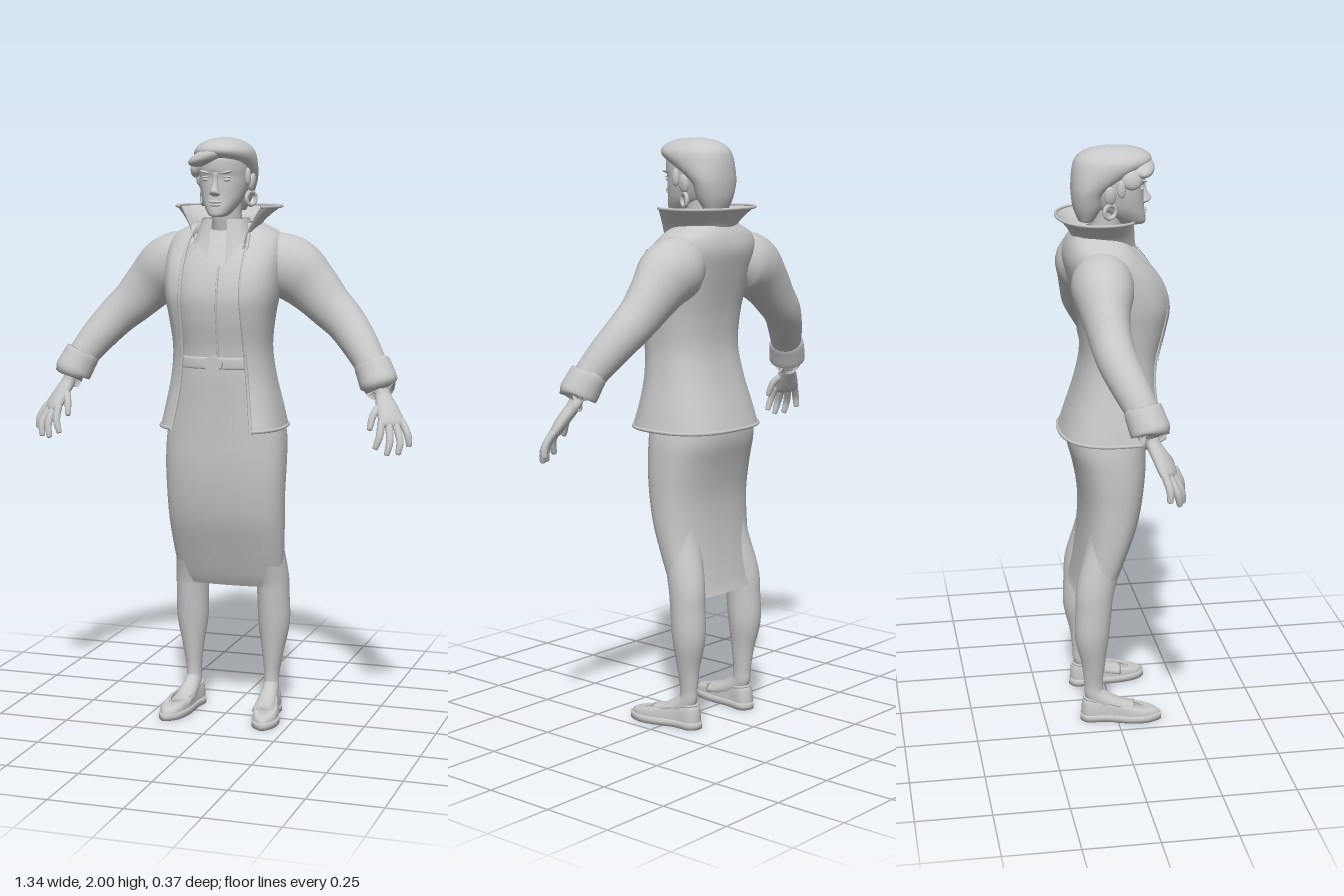
import * as THREE from 'three';

const grey = new THREE.MeshStandardMaterial({ color: 0xc8c8c8, side: THREE.DoubleSide });
grey.name = 'clay grey';
const V = (x, y, z) => new THREE.Vector3(x, y, z);
const spow = (v, p) => Math.sign(v) * Math.pow(Math.abs(v), p);
const TAU = Math.PI * 2;

// Smooth interpolation through table rows, t in 0..1
function sample(rows, t) {
  const f = t * (rows.length - 1), i = Math.min(Math.floor(f), rows.length - 2), k = f - i;
  const at = n => rows[Math.max(0, Math.min(rows.length - 1, n))];
  const [a, b, c, d] = [at(i - 1), at(i), at(i + 1), at(i + 2)];
  return b.map((_, n) => b[n] + 0.5 * k * (c[n] - a[n] + k * (2 * a[n] - 5 * b[n] + 4 * c[n] - d[n] + k * (3 * (b[n] - c[n]) + d[n] - a[n]))));
}

// Surface from fn(u, v); closed wraps u, caps fill both ends
function grid(fn, nu, nv, closed = false, caps = false) {
  const pos = [], idx = [], w = closed ? nu : nu + 1;
  for (let j = 0; j <= nv; j++) for (let i = 0; i < w; i++) pos.push(...fn(i / nu, j / nv).toArray());
  for (let j = 0; j < nv; j++) for (let i = 0; i < nu; i++) {
    const a = j * w + i, b = j * w + (i + 1) % w;
    idx.push(a, b, b + w, a, b + w, a + w);
  }
  if (caps) for (const j of [0, nv]) {
    const c = V(0, 0, 0), n = pos.length / 3;
    for (let i = 0; i < w; i++) c.add(V(...pos.slice((j * w + i) * 3, (j * w + i) * 3 + 3)));
    pos.push(...c.divideScalar(w).toArray());
    for (let i = 0; i < w; i++) {
      const a = j * w + i, b = j * w + (i + 1) % w;
      j ? idx.push(n, a, b) : idx.push(n, b, a);
    }
  }
  const g = new THREE.BufferGeometry();
  g.setAttribute('position', new THREE.Float32BufferAttribute(pos, 3));
  g.setIndex(idx);
  g.computeVertexNormals();
  return g;
}

// Point on a rounded section row [y, halfWidth, zFront, zBack]; angle 0 faces front
function section([y, rx, zf, zb], a, p, off = 0) {
  return V((rx + off) * spow(Math.sin(a), p), y, (zf + zb) / 2 + ((zf - zb) / 2 + off) * spow(Math.cos(a), p));
}
const body = (rows, p = 1, caps = true, nv = 40) =>
  grid((u, v) => section(sample(rows, v), u * TAU, p), 48, nv, true, caps);

// Limb through rows [x, y, z, radiusAcross, radiusOther]
function limb(rows, ref = V(0, 0, 1), nu = 20, nv = 28) {
  return grid((u, v) => {
    const r = sample(rows, v), e = 0.01;
    const t = V(...sample(rows, Math.min(1, v + e))).sub(V(...sample(rows, Math.max(0, v - e)))).normalize();
    const s = ref.clone().addScaledVector(t, -ref.dot(t)).normalize(), up = t.clone().cross(s);
    return V(r[0], r[1], r[2]).addScaledVector(s, r[3] * Math.cos(u * TAU)).addScaledVector(up, (r[4] ?? r[3]) * Math.sin(u * TAU));
  }, nu, nv, true, true);
}
const tube = (pts, r) => new THREE.TubeGeometry(new THREE.CatmullRomCurve3(pts), 60, r, 6);
const blob = (x, y, z, sx, sy, sz, rz = 0) =>
  new THREE.SphereGeometry(1, 24, 16).scale(sx, sy, sz).rotateZ(rz).translate(x, y, z);

function mirrored(g) {
  const m = g.clone().scale(-1, 1, 1), ix = m.index.array;
  for (let i = 0; i < ix.length; i += 3) [ix[i], ix[i + 1]] = [ix[i + 1], ix[i]];
  return m;
}

export function createModel() {
  const root = new THREE.Group();
  const add = (name, g) => { const m = new THREE.Mesh(g, grey); m.name = name; root.add(m); };
  const pair = (name, g) => { add(name + 'Left', g); add(name + 'Right', mirrored(g)); };

  // Skirt and belt
  const skirt = [[.46, .187, -.008, -.14], [.5, .19, .012, -.13], [.6, .199, .05, -.115], [.7, .205, .085, -.107], [.8, .208, .105, -.108],
    [.9, .211, .115, -.125], [1, .207, .117, -.148], [1.1, .186, .12, -.135], [1.2, .16, .125, -.09], [1.27, .148, .125, -.08]];
  add('skirt', body(skirt, .8, false));
  add('belt', body([[1.232, .15, .128, -.08], [1.236, .156, .135, -.085], [1.268, .156, .135, -.085], [1.272, .15, .128, -.08]], .8, false, 12));
  add('buckle', new THREE.CylinderGeometry(.024, .024, .018, 24).rotateX(Math.PI / 2).scale(1.4, 1, 1).translate(0, 1.252, .137));

  // Blouse with placket
  const blouse = [[1.22, .148, .122, -.08], [1.3, .146, .128, -.08], [1.4, .155, .148, -.085], [1.48, .165, .152, -.09],
    [1.56, .16, .128, -.1], [1.63, .13, .088, -.1], [1.69, .07, .045, -.08]];
  add('blouse', body(blouse, .85));
  add('placket', tube([.1, .25, .4, .55, .7].map(v => section(sample(blouse, v), .06, .85)), .004));

  // Jacket shell open at the front; last column is the half opening
  const coat = [[1.03, .213, .195, -.175, .14], [1.1, .199, .172, -.152, .13], [1.2, .178, .155, -.12, .118], [1.3, .168, .158, -.1, .11],
    [1.4, .178, .18, -.105, .108], [1.48, .192, .19, -.12, .105], [1.56, .198, .168, -.14, .105], [1.63, .198, .118, -.155, .105],
    [1.68, .178, .07, -.145, .1], [1.715, .11, .04, -.125, .085]];
  const P = .78;
  const openAt = r => Math.asin(Math.pow(r[4] / r[1], 1 / P));
  add('jacket', grid((u, v) => {
    const r = sample(coat, v), a = openAt(r);
    return section(r, a + u * (TAU - 2 * a), P);
  }, 60, 44));
  const edge = v => { const r = sample(coat, v); return section(r, openAt(r), P); };
  pair('jacketEdge', tube(Array.from({ length: 18 }, (_, i) => edge(i / 19)), .006));
  const hemOpen = openAt(coat[0]);
  add('jacketHem', tube(Array.from({ length: 40 }, (_, i) => section(coat[0], hemOpen + i / 39 * (TAU - 2 * hemOpen), P)), .006));
  pair('lapel', grid((u, v) => {
    const r = sample(coat, .32 + v * .46), a = openAt(r);
    return section(r, a + u * .32 * Math.pow(v, .7), P, .009);
  }, 8, 24));

  // Collars: flared bands round the neck, dipping toward the front
  const collar = (low, high, start, dip, bend) => grid((u, v) => {
    const a = start + u * (TAU - 2 * start), k = Math.pow(v, bend);
    const q = section(low, a, .9).lerp(section(high, a, .9), k);
    q.y = low[0] + (high[0] - low[0]) * v - dip * (1 - v) * Math.pow(Math.abs(2 * u - 1), 5);
    return q;
  }, 48, 10);
  const low = [1.69, .105, .11, -.125], high = [1.77, .18, .1, -.177];
  add('standingCollar', collar(low, high, .85, .07, 1.6));
  add('collarRim', tube(Array.from({ length: 40 }, (_, i) => section(high, .85 + i / 39 * (TAU - 1.7), .9)), .005));
  add('blouseCollar', collar([1.665, .1, .122, -.095], [1.73, .08, .07, -.08], .3, .09, .8));

  // Sleeves and turned cuffs
  pair('sleeve', limb([[.1, 1.585, -.05, .07, .08], [.16, 1.58, -.052, .1, .105], [.225, 1.555, -.055, .098, .108], [.29, 1.5, -.058, .078, .092],
    [.35, 1.44, -.053, .068, .078], [.41, 1.385, -.04, .065, .069], [.47, 1.315, -.008, .06, .061], [.52, 1.245, .025, .052, .052]], V(0, 0, 1), 28, 36));
  pair('cuff', limb([[.513, 1.265, .02, .05], [.515, 1.26, .021, .06], [.53, 1.23, .03, .063], [.546, 1.195, .041, .064], [.548, 1.19, .042, .052]], V(0, 0, 1), 28, 16));

  // Hands
  pair('palm', limb([[.543, 1.205, .038, .028, .025], [.56, 1.16, .047, .027, .022], [.58, 1.12, .068, .038, .022],
    [.602, 1.075, .089, .045, .019], [.606, 1.062, .093, .034, .012]], V(-.8, 0, .6), 20, 20));
  const fingers = [['indexFinger', [.572, 1.08, .112], [.572, 1.035, .133], [.56, .995, .14]],
    ['middleFinger', [.594, 1.072, .101], [.605, 1.02, .127], [.598, .977, .137]],
    ['ringFinger', [.613, 1.072, .087], [.635, 1.02, .11], [.632, .978, .12]],
    ['littleFinger', [.63, 1.08, .071], [.655, 1.035, .084], [.66, 1, .084]],
    ['thumb', [.565, 1.135, .065], [.543, 1.1, .1], [.535, 1.055, .118]]];
  for (const [name, a, b, c] of fingers)
    pair(name, limb([[...a, .013], [...b, .0125], [...c, .0095], [...c.map((x, i) => x + (c[i] - b[i]) * .12), .004]], V(1, 0, .2), 10, 14));

  // Legs running into the shoes
  pair('leg', limb([[.15, .04, .06, .035, .02], [.148, .052, .0, .034, .026], [.144, .09, -.07, .028, .034], [.144, .14, -.08, .027, .033],
    [.147, .22, -.081, .038, .042], [.15, .32, -.086, .055, .059], [.149, .42, -.08, .056, .063], [.145, .5, -.072, .058, .066],
    [.12, .65, -.03, .068, .07], [.105, .8, -.01, .08, .08]], V(1, 0, 0), 24, 40));

  // Shoes: flat sole, low upper and rolled opening
  const outline = new THREE.CatmullRomCurve3([[.14, -.127], [.172, -.11], [.18, -.04], [.208, .05], [.207, .11], [.178, .155],
    [.14, .13], [.118, .06], [.115, -.04], [.109, -.105]].map(([x, z]) => V(x, 0, z)), true);
  const shoeRing = (u, k, y) => { const q = outline.getPoint(u); return V(.152 + (q.x - .152) * k, y, -.02 + (q.z + .02) * k); };
  pair('sole', grid((u, v) => shoeRing(1 - u, 1, v * .024).setX(shoeRing(1 - u, 1.04, 0).x), 48, 2, true, true));
  const mouth = u => { const q = outline.getPoint(u); return V(.148 + (q.x - .152) * .72, .066 - q.z * .13, -.035 + (q.z + .02) * .72); };
  pair('shoe', grid((u, v) => {
    const a = shoeRing(1 - u, .97, .022), b = mouth(1 - u);
    const q = a.clone().lerp(b, v * v);
    q.y = a.y + (b.y - a.y) * Math.sin(v * Math.PI / 2);
    return q;
  }, 48, 10, true));
  pair('shoeRim', tube(Array.from({ length: 31 }, (_, i) => mouth(i / 30)), .005));

  // Neck and head
  add('neck', limb([[0, 1.6, -.035, .07], [0, 1.68, -.025, .054], [0, 1.74, -.012, .05], [0, 1.82, -.01, .055]]));
  add('head', body([[1.738, .018, .113, .05], [1.746, .034, .12, .025], [1.77, .052, .119, -.02], [1.8, .068, .114, -.06], [1.84, .079, .113, -.09],
    [1.87, .083, .113, -.105], [1.9, .084, .12, -.11], [1.94, .08, .115, -.11], [1.975, .05, .08, -.07]], .92));
  add('nose', body([[1.806, .008, .118, .1], [1.813, .018, .132, .1], [1.823, .015, .14, .1], [1.84, .01, .13, .1], [1.862, .008, .121, .1], [1.885, .012, .12, .1]], 1, true, 16));
  add('upperLip', blob(0, 1.788, .115, .024, .005, .008));
  add('lowerLip', blob(0, 1.778, .115, .019, .006, .008));
  pair('eye', blob(.034, 1.861, .1, .015, .007, .009));
  pair('eyelid', blob(.034, 1.869, .1, .018, .0035, .011, .08));
  pair('eyebrow', blob(.035, 1.885, .106, .023, .005, .012, .2));
  pair('ear', blob(.089, 1.85, -.012, .011, .032, .02, -.15));
  pair('earring', new THREE.TorusGeometry(.022, .007, 10, 24).rotateY(1.1).translate(.085, 1.797, -.012));

  // Short hair swept to one side
  add('hair', body([[1.755, .045, -.055, -.105], [1.8, .07, -.025, -.122], [1.85, .087, -.012, -.128], [1.885, .096, .035, -.128], [1.915, .1, .088, -.126],
    [1.94, .1, .128, -.122], [1.96, .093, .138, -.114], [1.98, .073, .12, -.092], [1.994, .042, .08, -.055], [2, .008, .02, -.01]], .92));
  add('fringe', blob(-.03, 1.937, .098, .072, .026, .045, .35));
  add('fringeTip', blob(-.082, 1.9, .06, .018, .034, .035, -.2));
  pair('sideburn', blob(.086, 1.87, .026, .01, .03, .014));
  return root;
}
